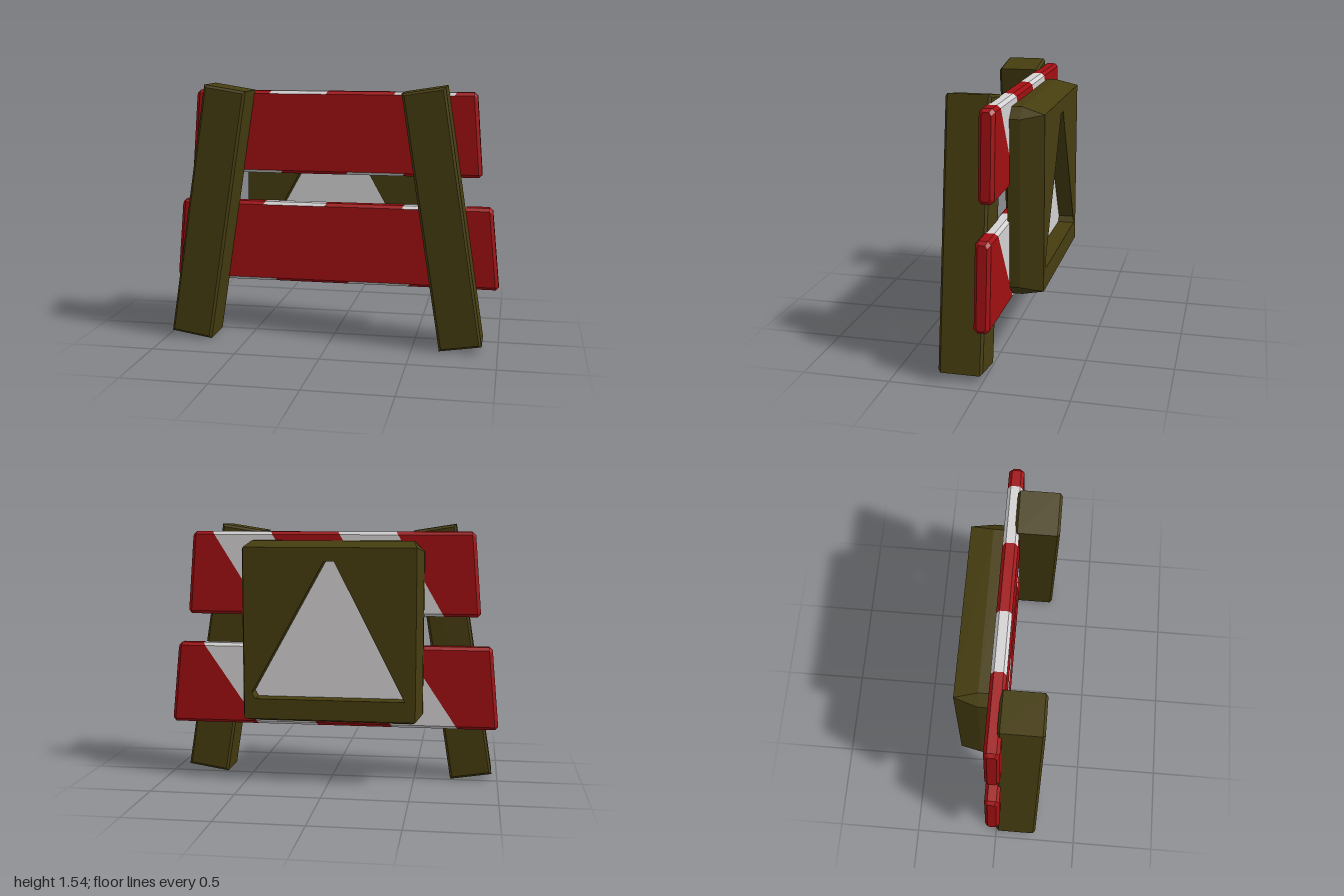
import * as THREE from 'three';

const red = new THREE.MeshStandardMaterial({ color: 0xa00f12 });
red.name = 'red paint';
const white = new THREE.MeshStandardMaterial({ color: 0xd4d2d2 });
white.name = 'white paint';
const olive = new THREE.MeshStandardMaterial({ color: 0x463d10 });
olive.name = 'olive wood';

function part(name, geometry, material) {
  const mesh = new THREE.Mesh(geometry, material);
  mesh.name = name;
  return mesh;
}

// Bevelled post, centred on its own origin
function postGeometry(w, h, d, b) {
  const x = w / 2 - b, y = h / 2 - b;
  const shape = new THREE.Shape([[-x, -y], [x, -y], [x, y], [-x, y]].map(p => new THREE.Vector2(...p)));
  const geo = new THREE.ExtrudeGeometry(shape, {
    depth: d - 2 * b, bevelThickness: b, bevelSize: b, bevelSegments: 1,
  });
  return geo.translate(0, 0, b - d / 2);
}

// Chamfered plank swept along slanted stations [xBottom, xTop];
// stripes wrap the back and edges, the front face stays red
function plankGeometry(y0, y1, stations) {
  const zf = 0.025, zb = -0.062, b = 0.018;
  const yc = (y0 + y1) / 2, zc = (zf + zb) / 2;
  const section = [
    [y0 + b, zf], [y1 - b, zf], [y1, zf - b], [y1, zb + b],
    [y1 - b, zb], [y0 + b, zb], [y0, zb + b], [y0, zf - b],
  ];
  const last = stations.length - 1;
  const rings = stations.map(([xb, xt], i) => {
    const end = i === 0 || i === last;
    return section.map(([py, pz]) => {
      const y = end ? yc + (py - yc) * 0.93 : py;
      const z = end ? zc + (pz - zc) * 0.6 : pz;
      return [xb + (xt - xb) * (y - y0) / (y1 - y0), y, z];
    });
  });
  const faces = [[], []]; // red, white
  const tri = (m, a, p, c) => faces[m].push(...a, ...p, ...c);
  for (let i = 0; i < last; i++) {
    for (let j = 0; j < 8; j++) {
      const k = (j + 1) % 8;
      const m = j > 0 && (i === 2 || i === 4) ? 1 : 0;
      tri(m, rings[i][j], rings[i + 1][j], rings[i + 1][k]);
      tri(m, rings[i][j], rings[i + 1][k], rings[i][k]);
    }
  }
  for (let j = 1; j < 7; j++) {
    tri(0, rings[0][0], rings[0][j], rings[0][j + 1]);
    tri(0, rings[last][0], rings[last][j + 1], rings[last][j]);
  }
  const geo = new THREE.BufferGeometry();
  geo.setAttribute('position', new THREE.Float32BufferAttribute([...faces[0], ...faces[1]], 3));
  geo.addGroup(0, faces[0].length / 3, 0);
  geo.addGroup(faces[0].length / 3, faces[1].length / 3, 1);
  geo.computeVertexNormals();
  return geo;
}

// Rear block with a triangular opening, tapering towards its back face
function blockGeometry(triangle) {
  const h = 0.54, c = 0.48, inset = 0.505;
  const shape = new THREE.Shape([
    [-c, -h], [c, -h], [h, -c], [h, c], [c, h], [-c, h], [-h, c], [-h, -c],
  ].map(p => new THREE.Vector2(...p)));
  shape.holes.push(new THREE.Path(triangle));
  const geo = new THREE.ExtrudeGeometry(shape, { depth: 0.2, steps: 2, bevelEnabled: false });
  const pos = geo.attributes.position;
  for (let i = 0; i < pos.count; i++) {
    const x = pos.getX(i), y = pos.getY(i), z = pos.getZ(i);
    const outer = Math.max(Math.abs(x), Math.abs(y)) > 0.52;
    if (z < 0.01 && outer) pos.setXY(i, Math.sign(x) * inset, Math.sign(y) * inset);
    else if (z > 0.01 && z < 0.19) pos.setZ(i, 0.13);
  }
  geo.computeVertexNormals();
  return geo;
}

export function createModel() {
  const model = new THREE.Group();
  model.name = 'roadBarrier';

  // Slanted legs
  const legGeo = postGeometry(0.25, 1.515, 0.25, 0.014);
  for (const [name, x, tilt] of [['rightLeg', -0.724, -0.157], ['leftLeg', 0.667, 0.157]]) {
    const leg = part(name, legGeo, olive);
    leg.position.set(x, 0.773, 0.125);
    leg.rotation.z = tilt;
    model.add(leg);
  }

  // Striped planks
  model.add(part('upperPlank', plankGeometry(1.0, 1.497, [
    [-0.885, -0.845], [-0.865, -0.825], [-0.67, -0.385], [-0.33, -0.04],
    [0.07, 0.365], [0.41, 0.72], [0.86, 0.82], [0.88, 0.84],
  ]), [red, white]));
  model.add(part('lowerPlank', plankGeometry(0.328, 0.822, [
    [-1, -0.955], [-0.98, -0.935], [-0.76, -0.43], [-0.37, -0.05],
    [0.08, 0.42], [0.45, 0.79], [0.975, 0.925], [0.995, 0.945],
  ]), [red, white]));

  // Rear block and the white panel inside its opening
  const triangle = [
    [-0.44, -0.385], [0.44, -0.385], [0.46, -0.35], [0.03, 0.425], [-0.03, 0.425], [-0.46, -0.35],
  ].map(p => new THREE.Vector2(...p));
  const block = new THREE.Group();
  block.name = 'rearBlock';
  block.position.set(-0.0125, 0.905, -0.25);
  block.add(part('blockFrame', blockGeometry(triangle), olive));
  const panel = part('trianglePanel', new THREE.ExtrudeGeometry(new THREE.Shape(triangle), {
    depth: 0.008, bevelEnabled: false,
  }), white);
  panel.position.z = 0.1;
  block.add(panel);
  model.add(block);

  return model;
}
